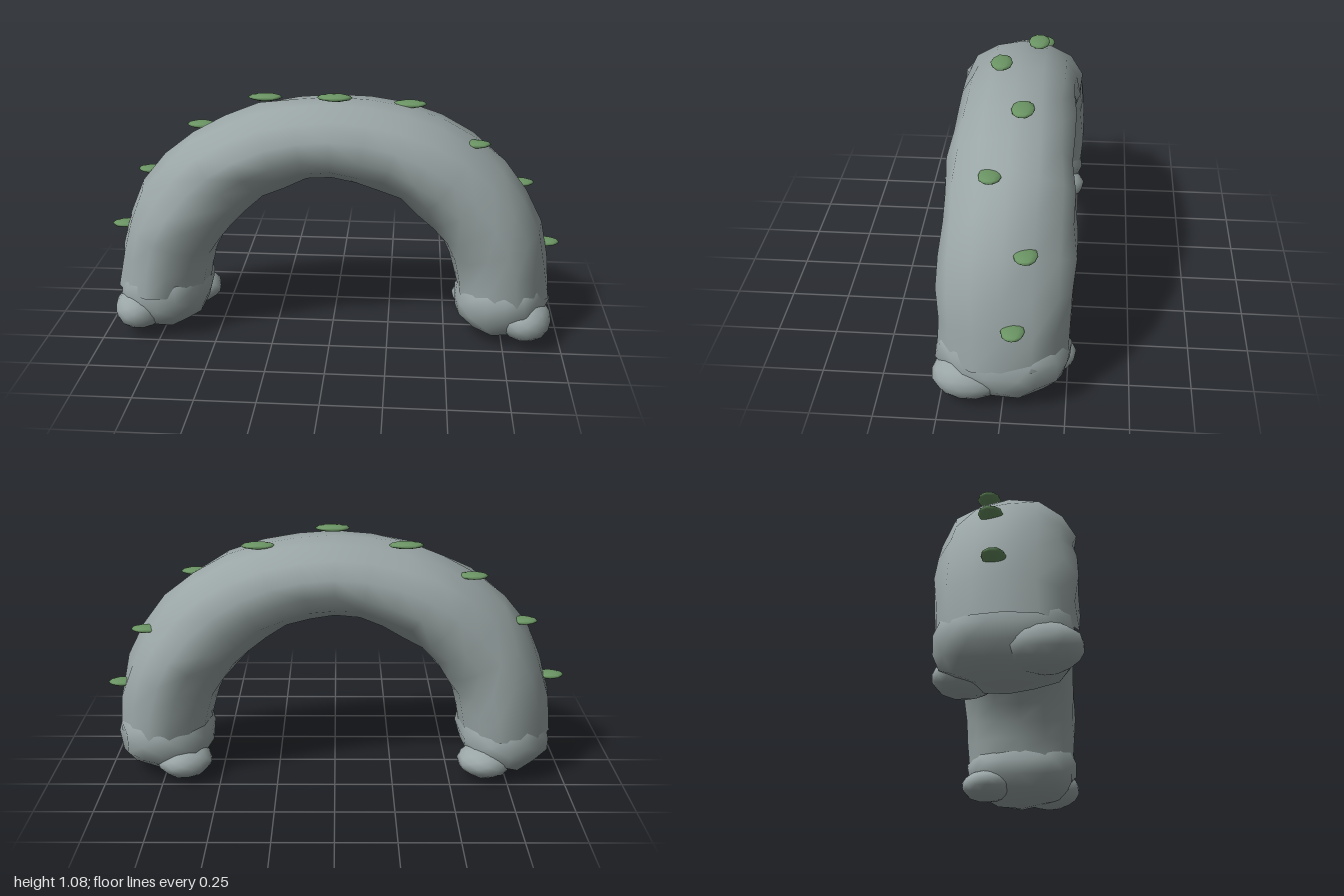
import * as THREE from 'three';
import { mergeVertices } from 'three/addons/utils/BufferGeometryUtils.js';

const stone = new THREE.MeshStandardMaterial({ color: 0x9aa5a5 });
stone.name = 'grey stone';
const moss = new THREE.MeshStandardMaterial({ color: 0x6b9564 });
moss.name = 'green moss';

// Repeatable noise in -1..1
function noise(a, b) {
  const s = Math.sin(a * 127.1 + b * 311.7) * 43758.5453;
  return 2 * (s - Math.floor(s)) - 1;
}

// Elliptical span swept along a half-ellipse, thicker at the shoulders, with a rough skin
function archGeometry() {
  const segs = 18, sides = 14, pos = [], idx = [];
  for (let i = 0; i <= segs; i++) {
    const t = Math.PI * i / segs, c = Math.cos(t), s = Math.sin(t);
    const normal = new THREE.Vector2(c / 0.75, s / 0.68).normalize();
    const shoulder = Math.sin(2 * t) ** 2;
    const rIn = 0.174 + 0.03 * c * c + 0.018 * shoulder;
    const rZ = 0.242 + 0.026 * Math.abs(c) + 0.008 * shoulder;
    for (let j = 0; j < sides; j++) {
      const a = 2 * Math.PI * j / sides;
      const k = 1 + 0.05 * noise(i, j);
      const r = Math.cos(a) * rIn * k;
      pos.push(0.755 * c + normal.x * r, 0.2 + 0.68 * s + normal.y * r, Math.sin(a) * rZ * k);
      if (i < segs) {
        const n = (j + 1) % sides, p = i * sides;
        idx.push(p + j, p + sides + j, p + n, p + n, p + sides + j, p + sides + n);
      }
    }
  }
  const g = new THREE.BufferGeometry();
  g.setAttribute('position', new THREE.Float32BufferAttribute(pos, 3));
  g.setIndex(idx);
  g.computeVertexNormals();
  return g;
}

// Rounded boulder: a ball, squared off by power and roughened
function boulder(rx, ry, rz, seed, rough, power = 1, detail = 2) {
  let g = new THREE.IcosahedronGeometry(1, detail);
  g.deleteAttribute('normal');
  g.deleteAttribute('uv');
  g = mergeVertices(g, 1e-3);
  const p = g.attributes.position;
  const bulge = (v) => Math.sign(v) * Math.pow(Math.abs(v), power);
  for (let i = 0; i < p.count; i++) {
    const k = 1 + rough * noise(i, seed);
    p.setXYZ(i, bulge(p.getX(i)) * rx * k, bulge(p.getY(i)) * ry * k, bulge(p.getZ(i)) * rz * k);
  }
  g.computeVertexNormals();
  return g;
}

function add(group, name, geometry, material, x, y, z) {
  const mesh = new THREE.Mesh(geometry, material);
  mesh.name = name;
  mesh.position.set(x, y, z);
  group.add(mesh);
}

export function createModel() {
  const model = new THREE.Group();
  model.name = 'stoneArch';
  add(model, 'archSpan', archGeometry(), stone, 0, 0, 0);

  // Footings with two boulders each, mirrored
  for (const side of [1, -1]) {
    const foot = new THREE.Group();
    foot.name = side > 0 ? 'leftFooting' : 'rightFooting';
    add(foot, 'baseRock', boulder(0.205, 0.172, 0.27, 3 + side, 0.06, 0.91), stone, side * 0.75, 0.175, 0);
    add(foot, 'frontBoulder', boulder(0.113, 0.094, 0.152, 7, 0.02), stone, side * 0.847, 0.112, 0.132);
    add(foot, 'backBoulder', boulder(0.12, 0.073, 0.122, 9, 0.03), stone, side * 0.66, 0.08, -0.16);
    model.add(foot);
  }

  // Moss tufts along the top of the span
  const spots = [
    [-0.94, 0.435, -0.04], [-0.81, 0.69, -0.06], [-0.585, 0.895, -0.08],
    [-0.3, 1.025, -0.07], [0.01, 1.065, 0.07], [0.325, 1.015, -0.04],
    [0.605, 0.875, 0.065], [0.81, 0.66, -0.085], [0.935, 0.4, -0.045],
  ];
  spots.forEach(([x, y, z], i) => {
    const w = Math.abs(x) > 0.5 ? 0.063 : 0.074;
    add(model, 'mossTuft' + (i + 1), boulder(w, 0.014, 0.047, 20 + i, 0.04, 1, 1), moss, x, y, z);
  });
  return model;
}
